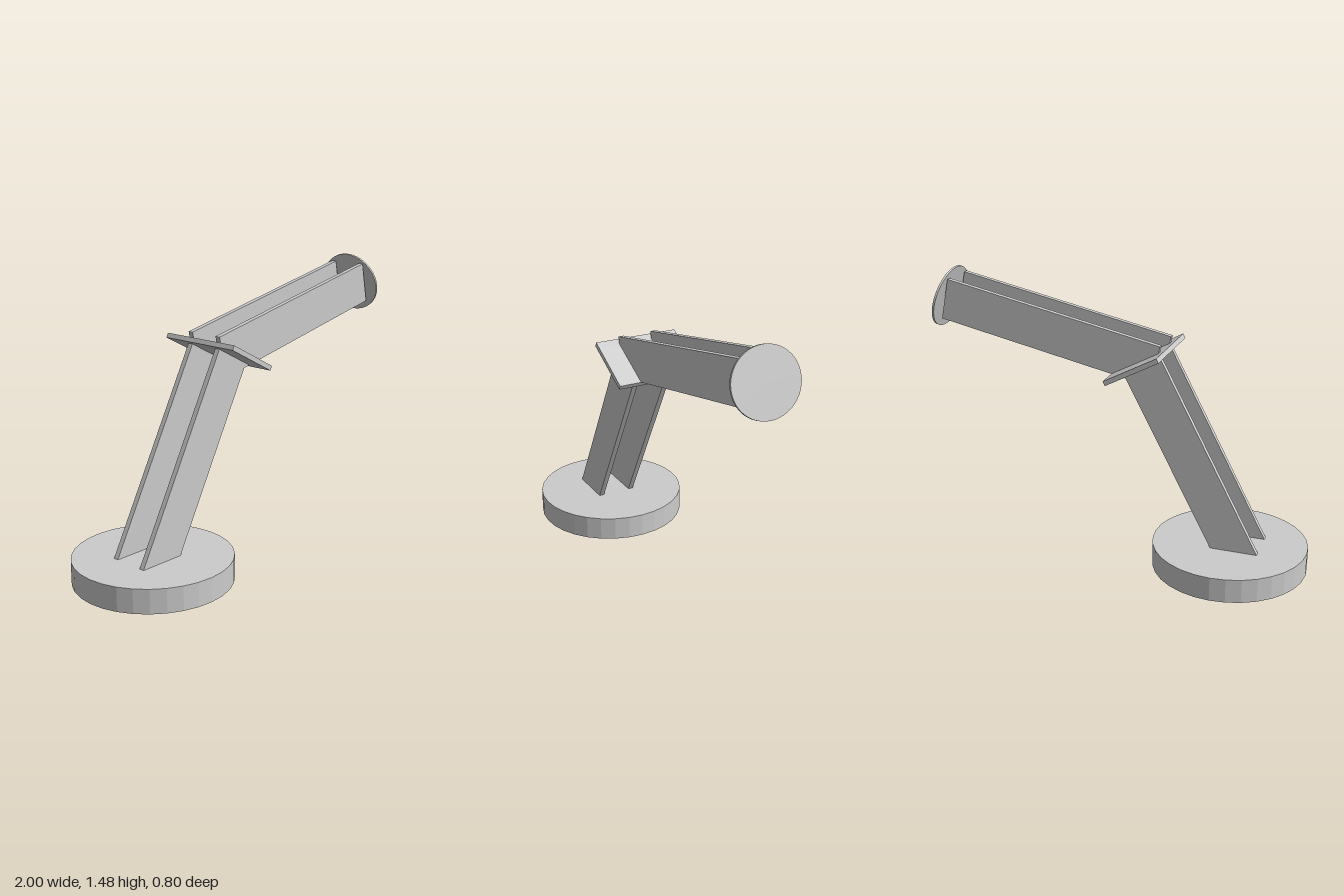
import * as THREE from 'three';

export function createModel() {
  const group = new THREE.Group();
  const material = new THREE.MeshStandardMaterial({ color: 0xcccccc, flatShading: true });
  const rad = THREE.MathUtils.degToRad;

  function add(name, geometry, x, y, z, degrees = 0) {
    const mesh = new THREE.Mesh(geometry, material);
    mesh.name = name;
    mesh.position.set(x, y, z);
    mesh.rotation.z = rad(degrees);
    group.add(mesh);
    return mesh;
  }

  // Round foot
  add('base', new THREE.CylinderGeometry(0.402, 0.402, 0.125, 32), -0.6, 0.078, 0);

  // Paired flat arms: lower ones run through the base, upper ones reach to the head
  const armGeometry = new THREE.BoxGeometry(1.17, 0.215, 0.028);
  for (const [side, z] of [['left', 0.097], ['right', -0.088]]) {
    const label = z > 0 ? 'front' : 'back';
    add(label + 'LowerArm', armGeometry, -0.416, 0.567, z, 62);
    add(label + 'UpperArm', armGeometry, 0.357, 1.204, z, 12);
  }

  // Cross plate at the elbow
  add('elbowPlate', new THREE.BoxGeometry(0.31, 0.025, 0.455), -0.128, 1.083, 0, -28);

  // Thin, slightly oval disc closing the end of the upper arms
  const disc = new THREE.CylinderGeometry(0.164, 0.164, 0.011, 48);
  disc.scale(1, 1, 1.08);
  add('headDisc', disc, 0.952, 1.319, 0, -74);

  return group;
}
